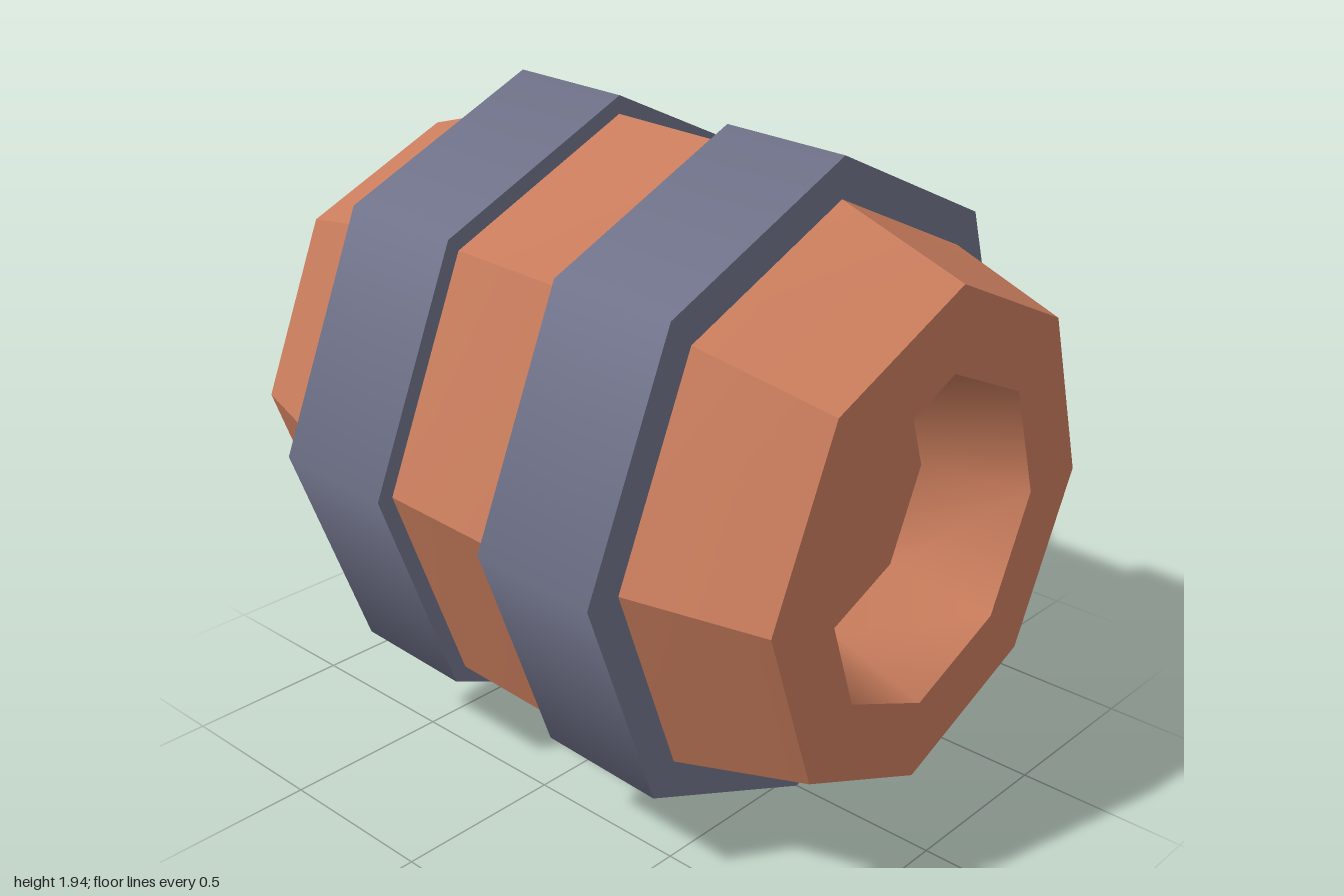
import * as THREE from 'three';
import { toCreasedNormals } from 'three/addons/utils/BufferGeometryUtils.js';

const SIDES = 8;
const DEPTH_SCALE = 0.933; // the barrel is slightly narrower front to back

// Lay a geometry built around y along x, then squeeze its depth
function layDown(geometry) {
  return geometry.rotateZ(-Math.PI / 2).scale(1, 1, DEPTH_SCALE);
}

// Eight-sided turned surface from [radius, position along axis] pairs
function turned(profile, crease) {
  const points = profile.map(([r, a]) => new THREE.Vector2(r, a));
  return toCreasedNormals(layDown(new THREE.LatheGeometry(points, SIDES)), crease);
}

export function createModel() {
  const wood = new THREE.MeshStandardMaterial({ color: 0xc87c5c });
  wood.name = 'wood';
  const iron = new THREE.MeshStandardMaterial({ color: 0x70738a });
  iron.name = 'iron';

  const model = new THREE.Group();
  model.name = 'barrel';

  const body = new THREE.Group();
  body.name = 'tiltedBarrel';
  body.position.y = 0.972;
  body.rotation.z = -0.0436;
  model.add(body);

  const add = (name, geometry, material) => {
    const mesh = new THREE.Mesh(geometry, material);
    mesh.name = name;
    body.add(mesh);
    return mesh;
  };

  // Staves with a closed end and an open rim
  add('staves', turned([
    [0, -0.968], [0.712, -0.968], [0.894, -0.39],
    [0.894, 0.39], [0.712, 0.968], [0.478, 0.968],
  ], Math.PI / 6), wood);

  // Tapered recess in the open end
  add('recess', turned([[0.478, 0.968], [0.392, 0.66], [0, 0.66]], Math.PI / 3), wood);

  // Two wide hoops
  for (const side of [-1, 1]) {
    const hoop = add(side < 0 ? 'rightHoop' : 'leftHoop',
      layDown(new THREE.CylinderGeometry(0.946, 0.946, 0.388, SIDES)), iron);
    hoop.position.x = side * 0.39;
  }

  return model;
}
